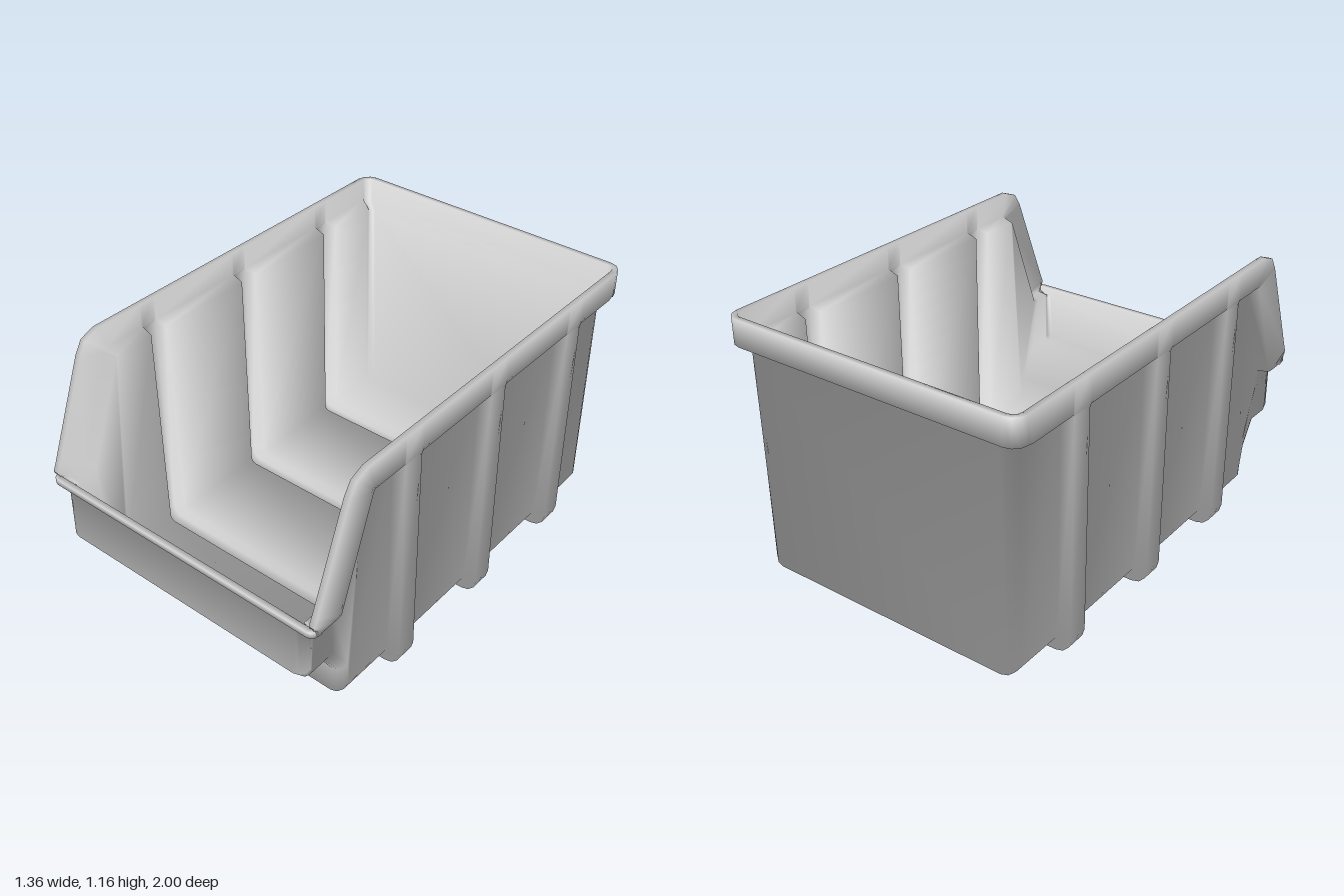
import * as THREE from 'three';

const BODY = 0.625;   // half width of the wall panels
const WIDE = 0.68;    // half width of the rim and ribs
const THICK = 0.025;  // wall thickness
const ARC = 3;        // segments in each rounded corner

const mix = (a, b, k) => [a[0] + (b[0] - a[0]) * k, a[1] + (b[1] - a[1]) * k];

// A station holds (z, y) points: floor profile, corner end, foot of rim band, rim top
function station(pz, py, sz, sy, mz, my, tz, ty, w = BODY, dz = 0) {
  return { p: [pz, py], s: [sz, sy], m: [mz, my], t: [tz, ty], w, dz };
}

// Station on the straight part; dz narrows the inside of a rib
function flat(z, rib = false, dz = 0) {
  return rib
    ? station(z, 0, z, 0.07, z, 1.03, z, 1.16, WIDE, dz)
    : station(z, 0.04, z, 0.09, z, 1.03, z, 1.16, BODY, dz);
}

// U-shaped section from one rim, under the floor, to the other rim
function skin(st, t) {
  const r = Math.hypot(st.s[0] - st.p[0], st.s[1] - st.p[1]);
  const p = mix(st.p, st.s, t / r);
  const half = [
    [WIDE - t, st.t],
    [WIDE - t, mix(st.m, st.t, t ? 0.2 : 0.08)],
    [st.w - t, mix(st.m, st.t, t ? 0.1 : 0)],
  ];
  for (let i = ARC; i >= 0; i--) {
    const a = (i / ARC) * Math.PI / 2;
    half.push([st.w - r + (r - t) * Math.sin(a), mix(p, st.s, 1 - Math.cos(a))]);
  }
  const shift = t ? st.dz : 0;
  const right = half.map(([x, q]) => new THREE.Vector3(x, q[1], q[0] + shift));
  const left = right.map(v => new THREE.Vector3(-v.x, v.y, v.z)).reverse();
  return [...right, ...left];
}

// Faces between two loops, as corners [loop, column]
function strip(i, n) {
  return Array.from({ length: n }, (_, j) => {
    const k = (j + 1) % n;
    return [[i, j], [i + 1, j], [i + 1, k], [i, k]];
  });
}

// Thin edge joining outer and inner skin at the first or last loop
function edge(i, n, flip) {
  return Array.from({ length: n / 2 - 1 }, (_, j) => {
    const face = [[i, j], [i, j + 1], [i, n - 2 - j], [i, n - 1 - j]];
    return flip ? face.reverse() : face;
  });
}

// Soft normals over the whole shell: every face counts equally at its corners,
// and the points of one floor fillet share a single direction
function softNormals(stations, loops, faces) {
  const sums = new Map();
  const key = v => v.toArray().map(c => Math.round(c * 1e4)).join();
  for (const face of faces) {
    const [a, b, c, d] = face.map(([i, j]) => loops[i][j]);
    const normal = c.clone().sub(a).cross(d.clone().sub(b));
    if (normal.length() < 1e-7) continue;
    normal.normalize();
    for (const k of new Set([a, b, c, d].map(key))) {
      if (!sums.has(k)) sums.set(k, new THREE.Vector3());
      sums.get(k).add(normal);
    }
  }
  const at = v => (sums.get(key(v)) || new THREE.Vector3()).clone().normalize();
  const first = 3, count = ARC + 1, side = first + count;
  return loops.map((loop, i) => {
    const normals = loop.map(at);
    const { p, s } = stations[i];
    if (s[1] - p[1] > 0.02) {
      // right and left fillets of the outer skin, then of the inner skin
      for (const start of [first, side, 2 * side + first, 3 * side]) {
        const shared = new THREE.Vector3();
        for (let j = start; j < start + count; j++) shared.add(normals[j]);
        shared.normalize();
        for (let j = start; j < start + count; j++) normals[j] = shared;
      }
    }
    return normals;
  });
}

function partMesh(name, faces, loops, normals, material) {
  const pos = [], nor = [];
  for (const [a, b, c, d] of faces) {
    for (const tri of [[a, b, c], [a, c, d]]) {
      const [u, v, w] = tri.map(([i, j]) => loops[i][j]);
      if (v.clone().sub(u).cross(w.clone().sub(u)).length() < 1e-8) continue;
      for (const [i, j] of tri) {
        pos.push(...loops[i][j].toArray());
        nor.push(...normals[i][j].toArray());
      }
    }
  }
  const geo = new THREE.BufferGeometry();
  geo.setAttribute('position', new THREE.Float32BufferAttribute(pos, 3));
  geo.setAttribute('normal', new THREE.Float32BufferAttribute(nor, 3));
  const mesh = new THREE.Mesh(geo, material);
  mesh.name = name;
  return mesh;
}

export function createModel() {
  const group = new THREE.Group();
  group.name = 'storageBin';
  const material = new THREE.MeshStandardMaterial({ color: 0xcccccc, side: THREE.DoubleSide });

  // Back wall with its stepped rim, then round the corner into the floor
  const stations = [
    station(-1, 1.16, -0.94, 1.16, -0.94, 1.16, -0.94, 1.16, WIDE),
    station(-1, 1.045, -0.94, 1.045, -0.94, 1.045, -0.94, 1.16, WIDE),
    station(-0.96, 1.03, -0.91, 1.03, -0.91, 1.03, -0.94, 1.16),
    station(-0.955, 0.045, -0.91, 0.09, -0.91, 1.03, -0.94, 1.16),
  ];
  const parts = [];
  const endPart = name => parts.push({ name, end: stations.length - 1 });

  // Hollow ribs wrapping sides and floor, with plain panels between them
  [-0.63, -0.09, 0.44].forEach((z, i) => {
    stations.push(flat(z - 0.055, false, 0.015));
    endPart(i ? 'wallPanel' : 'backWall');
    stations.push(flat(z - 0.047, true, 0.015), flat(z + 0.047, true, -0.015), flat(z + 0.055, false, -0.015));
    endPart('rib');
  });

  // Sloping side rims, low front wall with rounded nose, and front lip
  stations.push(
    station(0.775, 0.045, 0.735, 0.085, 0.655, 1.03, 0.70, 1.16),
    station(0.775, 0.045, 0.735, 0.085, 0.655, 1.03, 0.765, 1.135),
    station(0.775, 0.045, 0.735, 0.085, 0.655, 1.03, 0.80, 1.08),
    station(0.78, 0.18, 0.74, 0.20, 0.83, 0.57, 0.975, 0.655),
    station(0.855, 0.30, 0.83, 0.34, 0.86, 0.57, 0.99, 0.622),
    station(0.96, 0.295, 0.945, 0.34, 0.93, 0.57, 0.99, 0.621),
    station(0.995, 0.335, 0.95, 0.35, 0.945, 0.57, 0.989, 0.62),
    station(0.985, 0.565, 0.945, 0.565, 0.945, 0.565, 0.985, 0.61),
    station(1, 0.573, 0.972, 0.573, 0.972, 0.573, 0.98, 0.605, WIDE),
    station(1, 0.60, 0.972, 0.60, 0.972, 0.60, 0.972, 0.60, WIDE),
  );
  endPart('frontWall');

  // Closed loops of outer and inner skin, lofted and split into named parts
  const loops = stations.map(s => [...skin(s, 0), ...skin(s, THICK).reverse()]);
  const n = loops[0].length;
  const last = loops.length - 1;
  let start = 0;
  for (const part of parts) {
    part.faces = [];
    for (; start < part.end; start++) part.faces.push(...strip(start, n));
  }
  parts[0].faces.push(...edge(0, n, false));
  parts[parts.length - 1].faces.push(...edge(last, n, true));

  const normals = softNormals(stations, loops, parts.flatMap(p => p.faces));
  for (const p of parts) group.add(partMesh(p.name, p.faces, loops, normals, material));
  return group;
}
